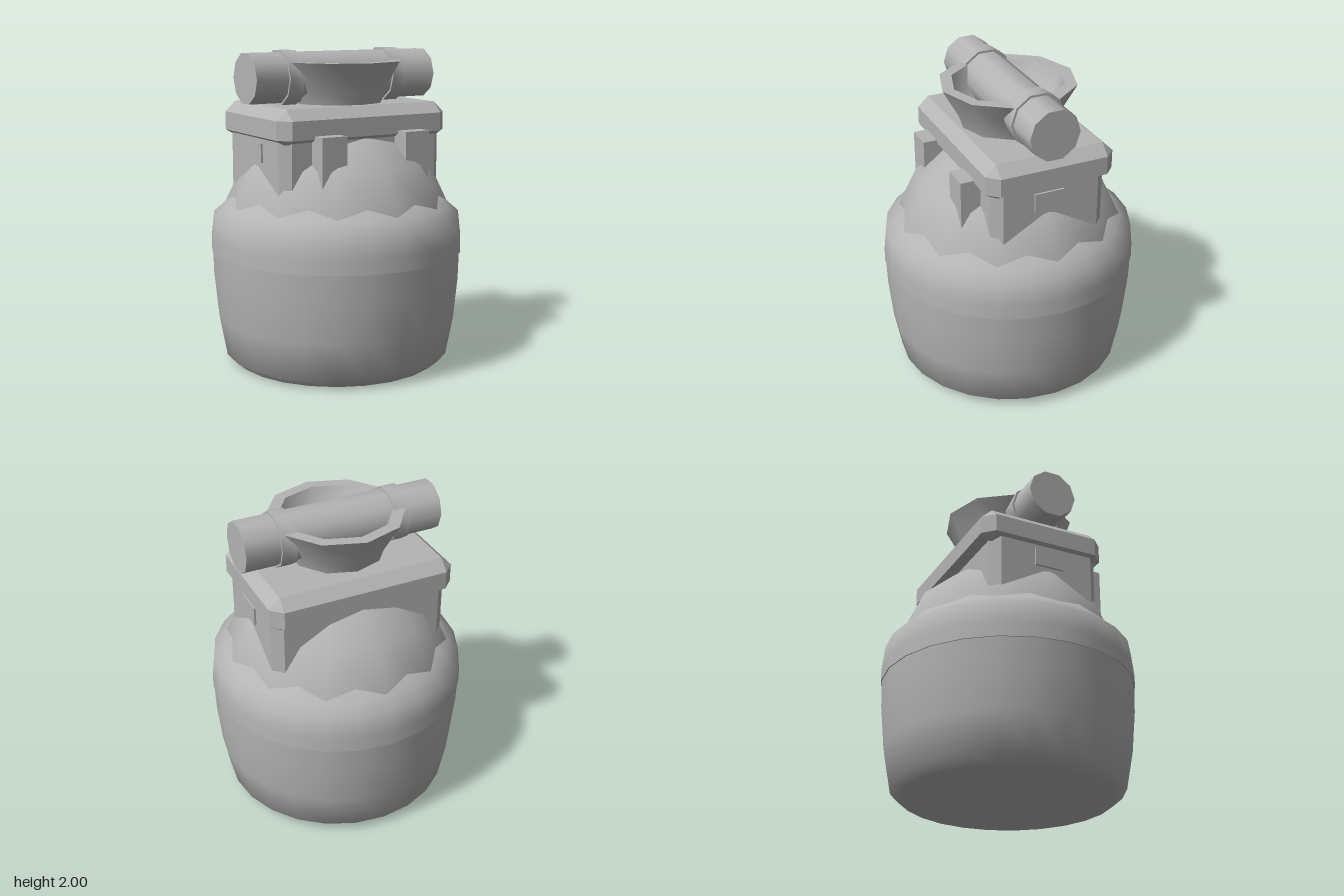
import * as THREE from 'three';
import { toCreasedNormals } from 'three/addons/utils/BufferGeometryUtils.js';
import { ConvexGeometry } from 'three/addons/geometries/ConvexGeometry.js';

export function createModel() {
  const model = new THREE.Group();
  const grey = new THREE.MeshStandardMaterial({ color: 0xb4b4b4 });
  grey.name = 'grey';

  const add = (name, geometry, x = 0, y = 0, z = 0) => {
    const mesh = new THREE.Mesh(geometry, grey);
    mesh.name = name;
    mesh.position.set(x, y, z);
    model.add(mesh);
    return mesh;
  };
  const lathe = (points, sides, crease = 0.7) =>
    toCreasedNormals(new THREE.LatheGeometry(points.map(p => new THREE.Vector2(...p)), sides), crease);

  // Pot with a rounded foot
  add('pot', lathe([[0, 0], [0.66, 0.005], [0.725, 0.06], [0.77, 0.3], [0.795, 0.56], [0.8, 0.74]], 24, 0.9));

  // Shoulder band overlapping the top of the pot
  add('shoulderBand', lathe([[0.78, 0.73], [0.806, 0.73], [0.804, 0.82], [0.788, 0.965],
    [0.725, 1.02], [0.655, 1.095], [0.55, 1.1]], 24, 0.9));

  // Coarser dome, which meets the band in a wavy line
  add('dome', lathe([[0.735, 0.92], [0.722, 1.01], [0.585, 1.3], [0.36, 1.47], [0, 1.55]], 12, 0.8));

  // Skirt with bevelled corners, sunk into the dome
  const sx = 0.575, sz = 0.37, b = 0.06;
  const outline = new THREE.Shape([[sx, sz - b], [sx - b, sz], [b - sx, sz], [-sx, sz - b],
    [-sx, b - sz], [b - sx, -sz], [sx - b, -sz], [sx, b - sz]].map(p => new THREE.Vector2(...p)));
  const skirt = new THREE.ExtrudeGeometry(outline, { depth: 0.42, bevelEnabled: false });
  skirt.rotateX(-Math.PI / 2);
  add('skirt', skirt, 0, 1.08, -0.015);

  // Lid with bevels on every edge and corner
  const corners = [];
  for (const x of [-1, 1]) for (const z of [-1, 1]) {
    for (const y of [1.45, 1.67]) corners.push(new THREE.Vector3(x * 0.53, y, z * 0.345));
    for (const y of [1.49, 1.605]) {
      corners.push(new THREE.Vector3(x * 0.6, y, z * 0.345));
      corners.push(new THREE.Vector3(x * 0.53, y, z * 0.415));
    }
  }
  add('lid', new ConvexGeometry(corners), 0, 0, -0.025);

  // Flared cup, outside then rim then bowl
  add('cup', lathe([[0.295, 1.66], [0.325, 1.75], [0.425, 1.93], [0.35, 1.93],
    [0.3, 1.8], [0.2, 1.72], [0, 1.69]], 10, 0.8));

  // Handle bar lying across the cup
  const bar = (name, radius, length, x) => {
    const geometry = new THREE.CylinderGeometry(radius, radius, length, 10);
    geometry.rotateZ(Math.PI / 2);
    add(name, toCreasedNormals(geometry, 0.8), x, 1.835, 0);
  };
  bar('handleBar', 0.16, 1.28, 0);

  for (const side of [-1, 1]) {
    const label = side > 0 ? 'left' : 'right';
    bar(label + 'HandleRing', 0.174, 0.1, side * 0.37);
    // Front lugs and small side plates
    add(label + 'FrontLug', new THREE.BoxGeometry(0.17, 0.4, 0.18), side * 0.295, 1.31, 0.39);
    add(label + 'SidePlate', new THREE.BoxGeometry(0.04, 0.12, 0.19), side * 0.568, 1.39, 0);
  }

  return model;
}
